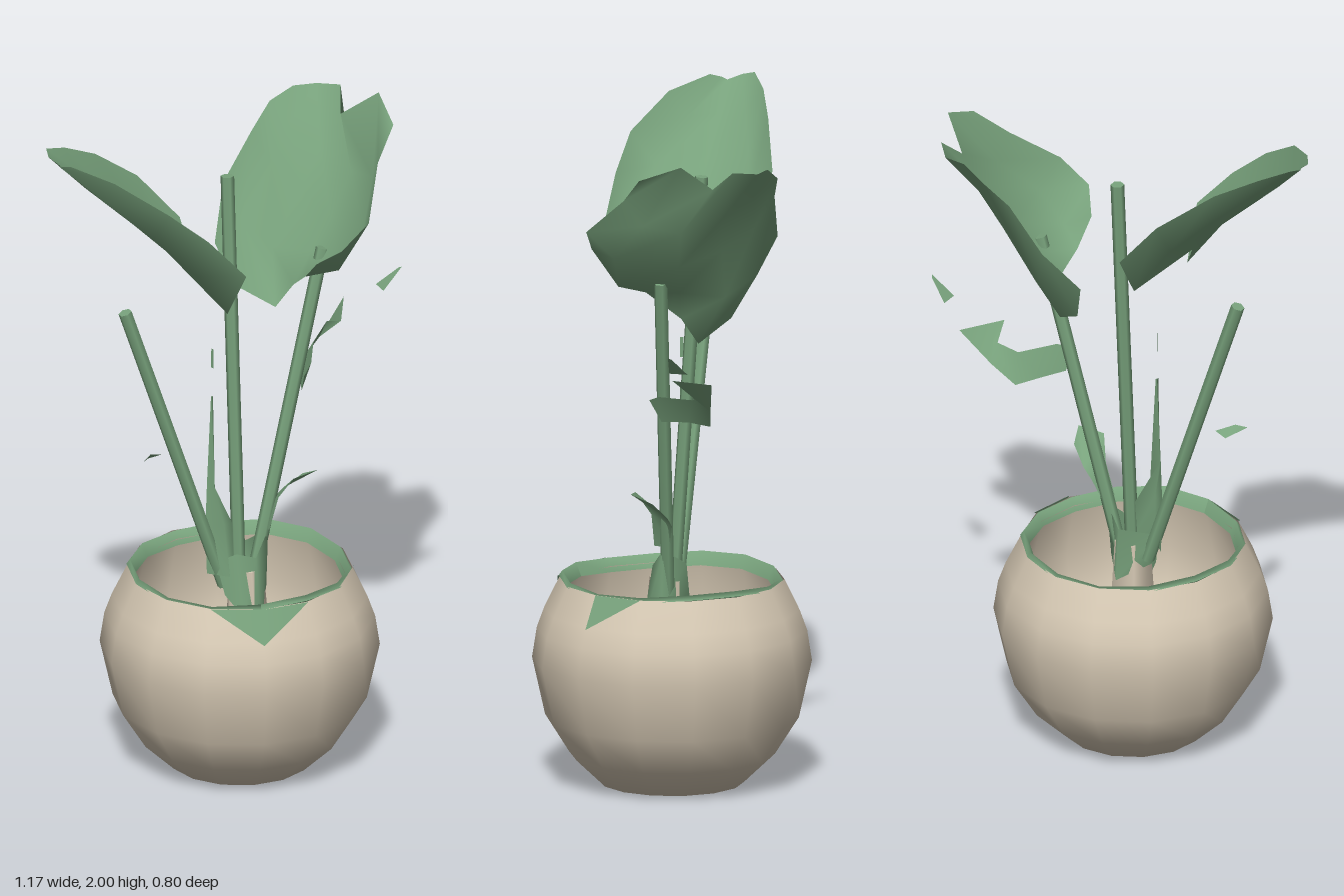
import * as THREE from 'three';

const SIDES = 14, START = -0.22;

export function createModel() {
  const model = new THREE.Group();
  const clay = new THREE.MeshStandardMaterial({ color: 0xd6c9b4, side: THREE.DoubleSide });
  const leafGreen = new THREE.MeshStandardMaterial({ color: 0x78a27c, side: THREE.DoubleSide });
  clay.name = 'clay';
  leafGreen.name = 'leafGreen';

  const add = (name, geometry, material) => {
    const mesh = new THREE.Mesh(geometry, material);
    mesh.name = name;
    model.add(mesh);
    return mesh;
  };
  const lathe = (profile) => new THREE.LatheGeometry(
    profile.map(([r, y]) => new THREE.Vector2(r, y)), SIDES, START, Math.PI * 2);

  // Surface lofted through cross-sections, each a list of [x, y, z] points
  const sheet = (rows) => {
    const n = rows[0].length, index = [];
    for (let i = 0; i < rows.length - 1; i++) {
      for (let j = 0; j < n - 1; j++) {
        const a = i * n + j, b = a + n;
        index.push(a, a + 1, b, b, a + 1, b + 1);
      }
    }
    const g = new THREE.BufferGeometry();
    g.setAttribute('position', new THREE.Float32BufferAttribute(rows.flat(2), 3));
    g.setIndex(index);
    g.computeVertexNormals();
    return g;
  };

  // Pot: outer shell, hollow inside
  add('pot', lathe([[0, 0], [0.21, 0.005], [0.3, 0.09], [0.37, 0.2], [0.408, 0.37],
    [0.394, 0.46], [0.372, 0.52], [0.328, 0.61]]), clay);
  add('potInside', lathe([[0.308, 0.59], [0.345, 0.42], [0.32, 0.25], [0.2, 0.1], [0, 0.09]]), clay);

  // Rim with an uneven top
  const rim = lathe([[0.33, 0.606], [0.32, 0.62], [0.302, 0.58]]);
  const rp = rim.attributes.position;
  for (let i = 0; i < rp.count; i++) {
    const angle = Math.atan2(rp.getX(i), rp.getZ(i));
    rp.setY(i, rp.getY(i) + 0.008 * Math.sin(angle * 3 + 1));
  }
  rim.computeVertexNormals();
  add('rim', rim, leafGreen);

  // Pointed drips hanging from the rim
  const onPot = (k, r, y) => {
    const a = START + (k / SIDES) * Math.PI * 2;
    return [r * Math.sin(a), y, r * Math.cos(a)];
  };
  const top = (k) => onPot(k, 0.334, 0.611);
  const low = (k) => onPot(k, 0.378, 0.515);
  add('frontDrip', sheet([[top(-1), top(0), top(1)], [top(-1), low(0), top(1)]]), leafGreen);
  add('sideDrip', sheet([[top(3), top(4)], [low(3), top(4)]]), leafGreen);

  // Stems, and the stump they grow from
  const rod = (name, from, to, r0, r1, sides, material) => {
    const a = new THREE.Vector3(...from), b = new THREE.Vector3(...to);
    const d = b.clone().sub(a);
    const mesh = add(name, new THREE.CylinderGeometry(r1, r0, d.length(), sides), material);
    mesh.position.copy(a).add(b).multiplyScalar(0.5);
    mesh.quaternion.setFromUnitVectors(new THREE.Vector3(0, 1, 0), d.normalize());
  };
  rod('stump', [0.02, 0.1, 0.03], [0.01, 0.61, 0.01], 0.085, 0.055, 5, clay);
  rod('leftStem', [-0.05, 0.56, 0], [-0.36, 1.47, -0.01], 0.02, 0.02, 6, leafGreen);
  rod('middleStem', [0, 0.5, 0], [0, 1.81, -0.09], 0.02, 0.02, 6, leafGreen);
  rod('rightStem', [0.04, 0.56, 0], [0.285, 1.55, -0.05], 0.02, 0.02, 6, leafGreen);

  // Large cupped leaves: base lobes first, tip last
  add('leftLeaf', sheet([
    [[-0.09, 1.64, -0.23], [-0.08, 1.5, -0.13], [-0.2, 1.61, 0], [-0.1, 1.48, 0.14], [-0.08, 1.63, 0.23]],
    [[-0.22, 1.79, -0.24], [-0.22, 1.68, -0.16], [-0.27, 1.69, 0], [-0.21, 1.63, 0.17], [-0.2, 1.76, 0.23]],
    [[-0.38, 1.91, -0.18], [-0.35, 1.8, -0.13], [-0.38, 1.79, 0], [-0.34, 1.76, 0.15], [-0.32, 1.86, 0.22]],
    [[-0.5, 1.97, -0.13], [-0.48, 1.91, -0.08], [-0.49, 1.89, 0], [-0.47, 1.88, 0.09], [-0.46, 1.955, 0.145]],
    [[-0.58, 2, -0.08], [-0.59, 1.99, -0.04], [-0.57, 1.975, 0], [-0.58, 1.98, 0.02], [-0.56, 1.99, 0.05]],
  ]), leafGreen);
  add('rightLeaf', sheet([
    [[0.03, 1.53, -0.25], [0.07, 1.41, -0.2], [0.17, 1.35, -0.13], [0.21, 1.43, -0.09], [0.2, 1.5, 0.02], [0.2, 1.57, 0.1]],
    [[0.1, 1.67, -0.35], [0.14, 1.56, -0.3], [0.2, 1.5, -0.22], [0.27, 1.52, -0.1], [0.28, 1.53, 0.08], [0.25, 1.63, 0.17]],
    [[0.2, 1.81, -0.37], [0.24, 1.72, -0.32], [0.3, 1.66, -0.24], [0.34, 1.61, -0.12], [0.36, 1.63, 0.07], [0.34, 1.7, 0.16]],
    [[0.27, 1.88, -0.4], [0.31, 1.83, -0.34], [0.37, 1.77, -0.26], [0.42, 1.73, -0.15], [0.44, 1.75, -0.04], [0.43, 1.82, 0.02]],
    [[0.34, 1.92, -0.39], [0.41, 1.92, -0.38], [0.46, 1.93, -0.32], [0.43, 1.87, -0.25], [0.52, 1.95, -0.18], [0.51, 1.9, -0.05]],
  ]), leafGreen);

  // Small side leaves on the right stem
  add('upperSideLeaf', sheet([
    [[0.2, 1.18, 0.01], [0.21, 1.12, -0.03]],
    [[0.24, 1.2, -0.03], [0.24, 1.13, -0.12]],
    [[0.3, 1.21, -0.15], [0.28, 1.13, -0.2]],
    [[0.36, 1.25, -0.19], [0.35, 1.19, -0.22]],
    [[0.37, 1.28, -0.11], [0.44, 1.29, -0.25]],
  ]), leafGreen);
  add('lowerSideLeaf', sheet([
    [[0.08, 0.72, 0.03], [0.09, 0.72, -0.02]],
    [[0.11, 0.82, 0.03], [0.12, 0.79, -0.035]],
    [[0.14, 0.89, 0.07], [0.15, 0.82, -0.03]],
    [[0.22, 0.9, 0.06], [0.2, 0.87, 0]],
  ]), leafGreen);

  // Leaf scraps beside the stems
  add('leftScrap', sheet([
    [[-0.34, 1.03, 0.08], [-0.3, 1.01, 0.02]],
    [[-0.31, 1.04, 0.06], [-0.26, 1.02, 0.03]],
  ]), leafGreen);
  add('rightScrap', sheet([
    [[0.52, 1.335, -0.2], [0.52, 1.335, -0.145]],
    [[0.58, 1.39, -0.17], [0.585, 1.395, -0.16]],
  ]), leafGreen);

  // Young shoot, its loose tip, and the sheath at the base
  add('youngShoot', sheet([
    [[-0.1, 0.6, -0.01], [-0.05, 0.6, 0.04], [0, 0.6, -0.02]],
    [[-0.105, 0.74, -0.01], [-0.06, 0.76, 0.025], [-0.015, 0.74, -0.02]],
    [[-0.1, 0.88, -0.01], [-0.085, 0.88, 0.01], [-0.07, 0.84, -0.02]],
    [[-0.087, 1.16, -0.01], [-0.085, 1.16, 0], [-0.082, 1.16, -0.01]],
  ]), leafGreen);
  add('shootTip', sheet([
    [[-0.087, 1.25, -0.01], [-0.083, 1.25, 0]],
    [[-0.086, 1.31, -0.01], [-0.083, 1.31, 0]],
  ]), leafGreen);
  add('sheath', sheet([
    [[-0.08, 0.64, 0.01], [-0.03, 0.67, 0.045], [0.03, 0.65, 0.05], [0.09, 0.71, 0], [0.02, 0.66, -0.05], [-0.08, 0.64, 0.01]],
    [[-0.06, 0.54, 0.03], [-0.02, 0.48, 0.075], [0.03, 0.44, 0.085], [0.08, 0.54, 0.01], [0.02, 0.5, -0.065], [-0.06, 0.54, 0.03]],
  ]), leafGreen);

  return model;
}
